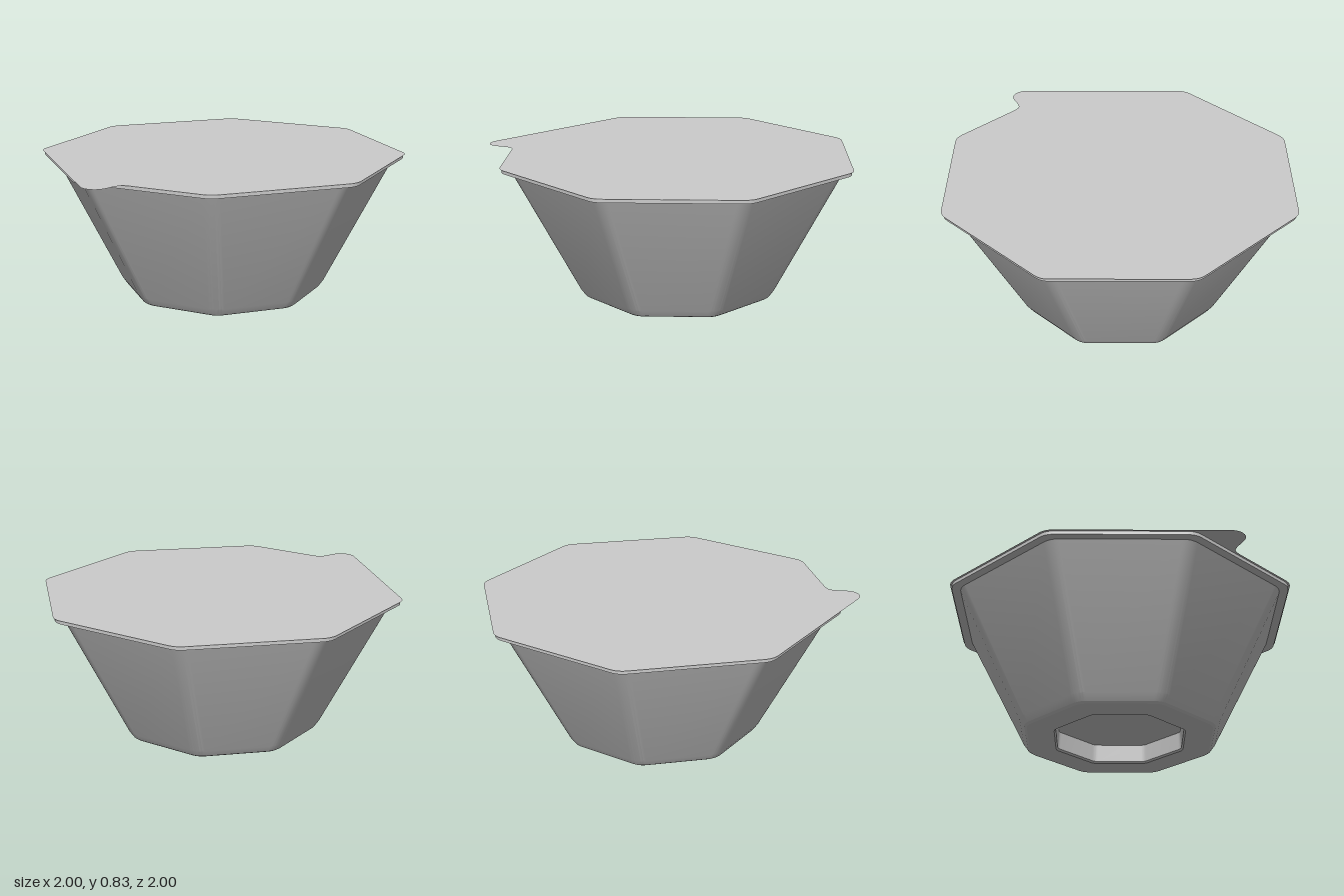
import * as THREE from 'three';
import { toCreasedNormals } from 'three/addons/utils/BufferGeometryUtils.js';

const ARC = 6; // segments per rounded corner

// Points of one rounded corner of an octagon (a = apothem, r = corner radius)
function corner(a, r, k) {
  const mid = (k + 0.5) * Math.PI / 4;
  const d = (a - r) / Math.cos(Math.PI / 8);
  const pts = [];
  for (let i = 0; i <= ARC; i++) {
    const t = (k + i / ARC) * Math.PI / 4;
    pts.push(new THREE.Vector2(
      d * Math.cos(mid) + r * Math.cos(t),
      d * Math.sin(mid) + r * Math.sin(t)));
  }
  return pts;
}

function octagon(a, r) {
  const pts = [];
  for (let k = 0; k < 8; k++) pts.push(...corner(a, r, k));
  return pts;
}

// Skin a list of [apothem, y, corner radius] rings
function loft(rings) {
  const pos = [], index = [];
  const n = 8 * (ARC + 1);
  for (const [a, y, r] of rings) {
    for (const p of octagon(a, r)) pos.push(p.x, y, p.y);
  }
  for (let i = 0; i < rings.length - 1; i++) {
    for (let j = 0; j < n; j++) {
      const j2 = (j + 1) % n;
      const a = i * n + j, b = i * n + j2, c = a + n, d = b + n;
      if (rings[i][0] > 0) index.push(a, c, b);
      if (rings[i + 1][0] > 0) index.push(b, c, d);
      else if (rings[i][0] > 0) continue;
    }
  }
  const g = new THREE.BufferGeometry();
  g.setAttribute('position', new THREE.Float32BufferAttribute(pos, 3));
  g.setIndex(index);
  return toCreasedNormals(g, 0.18);
}

export function createModel() {
  const group = new THREE.Group();
  const grey = new THREE.MeshStandardMaterial({ color: 0xcccccc });
  const film = new THREE.MeshStandardMaterial({ color: 0xcccccc, side: THREE.DoubleSide });

  const add = (name, geometry, material = grey) => {
    const mesh = new THREE.Mesh(geometry, material);
    mesh.name = name;
    group.add(mesh);
  };

  // Recessed underside and the flat ring the cup stands on
  add('base', loft([
    [0, 0.115, 0], [0.365, 0.115, 0.05], [0.37, 0.01, 0.05],
    [0.38, 0, 0.06], [0.535, 0, 0.1],
  ]));

  // Tapered wall with a softened foot
  add('cupWall', loft([
    [0.535, 0, 0.1], [0.55, 0.01, 0.11], [0.577, 0.05, 0.12], [0.94, 0.805, 0.12],
  ]));

  // Flange around the mouth
  add('rim', loft([
    [0.93, 0.805, 0.12], [0.99, 0.805, 0.11], [0.99, 0.825, 0.11], [0.9, 0.825, 0.1],
  ]));

  // Thin sealing lid with a pull tab in place of one corner
  const shape = new THREE.Shape();
  for (let k = 5; k < 12; k++) {
    corner(1, 0.11, k).forEach((p, i) => {
      if (k === 5 && i === 0) shape.moveTo(p.x, p.y);
      else shape.lineTo(p.x, p.y);
    });
  }
  shape.lineTo(-1, -0.6);
  shape.bezierCurveTo(-1, -0.65, -0.96, -0.69, -0.92, -0.688);
  shape.bezierCurveTo(-0.87, -0.685, -0.84, -0.645, -0.79, -0.643);
  shape.quadraticCurveTo(-0.77, -0.645, -0.742, -0.672);
  const lid = new THREE.ShapeGeometry(shape, 10);
  lid.rotateX(-Math.PI / 2);
  lid.translate(0, 0.828, 0);
  add('lidWithPullTab', lid, film);

  return group;
}
